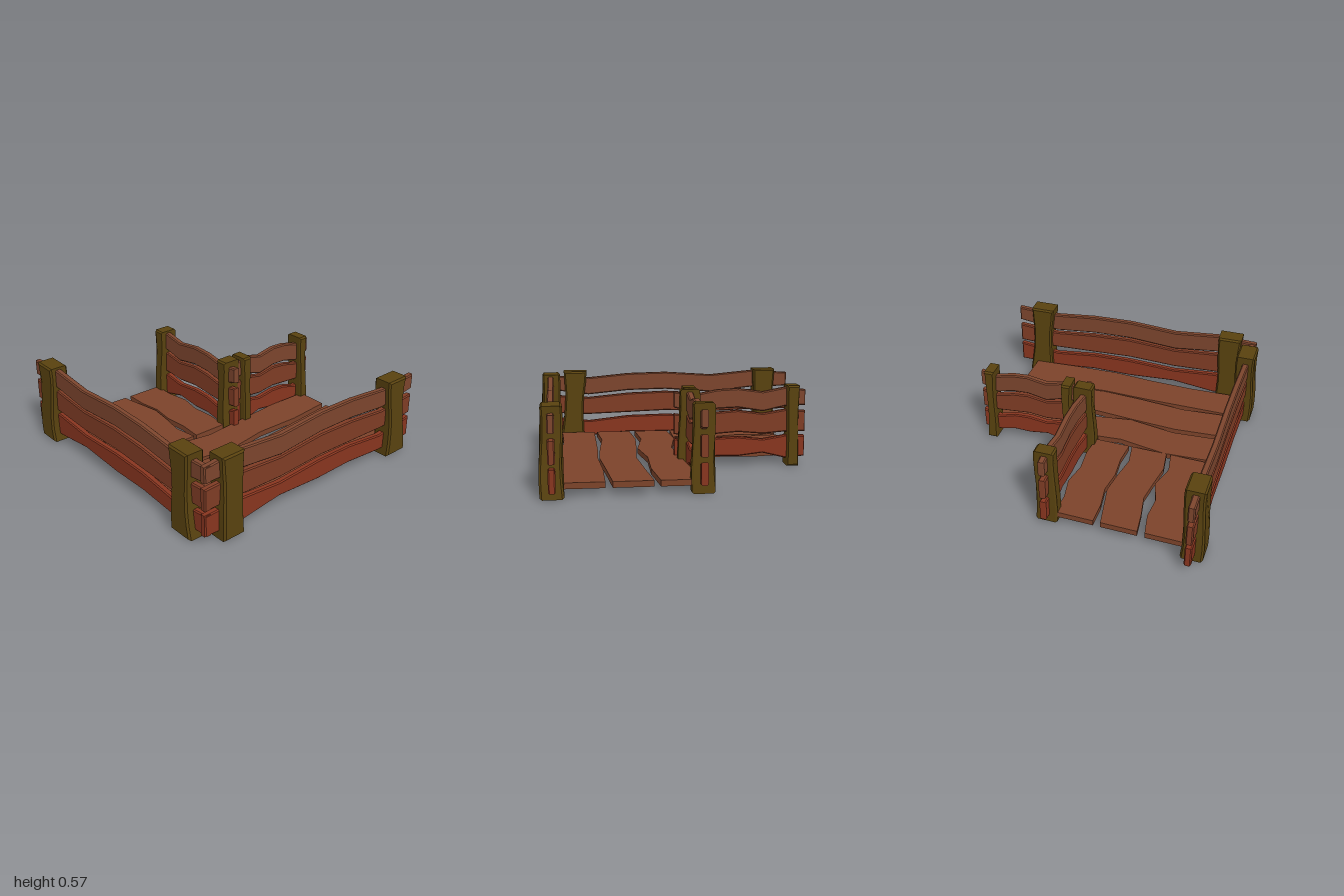
import * as THREE from 'three';
import { toCreasedNormals } from 'three/addons/utils/BufferGeometryUtils.js';

const mat = (color) => new THREE.MeshStandardMaterial({ color });
const postMat = mat(0x59420f);
const railMats = [mat(0x88351f), mat(0x7f3c25), mat(0x7c452d)];
const deckMat = mat(0x7c432a);

// Board cut from an outline (one edge forwards, the other back), centred in depth
function board(name, edgeA, edgeB, depth, bevel, material) {
  const pts = [...edgeA, ...[...edgeB].reverse()].map(([x, y]) => new THREE.Vector2(x, y));
  const geo = new THREE.ExtrudeGeometry(new THREE.Shape(pts), {
    depth: depth - 2 * bevel,
    bevelEnabled: bevel > 0,
    bevelSize: bevel,
    bevelThickness: bevel,
    bevelOffset: -bevel,
    bevelSegments: 1,
  });
  geo.translate(0, 0, bevel - depth / 2);
  const mesh = new THREE.Mesh(toCreasedNormals(geo, 0.5), material);
  mesh.name = name;
  return mesh;
}

const zip = (us, vs) => us.map((u, i) => [u, vs[i]]);

// Fence, built 1.94 long along +x, then stretched between two ground points
const FENCE = 1.94;
const railX = [0, 0.3, 0.63, 1.0, 1.3, 1.62, FENCE];
const rails = [
  { bottom: [0.06, 0.05, 0.09, 0.07, 0.075, 0.05, 0.06], top: [0.21, 0.215, 0.19, 0.21, 0.205, 0.17, 0.21] },
  { bottom: [0.24, 0.24, 0.228, 0.245, 0.235, 0.225, 0.24], top: [0.39, 0.4, 0.375, 0.4, 0.39, 0.36, 0.385] },
  { bottom: [0.43, 0.425, 0.39, 0.42, 0.415, 0.385, 0.43], top: [0.54, 0.56, 0.53, 0.556, 0.55, 0.52, 0.54] },
];
const postY = [0, 0.1, 0.2, 0.3, 0.4, 0.5, 0.575];
const posts = [
  { left: [0.11, 0.108, 0.11, 0.118, 0.122, 0.115, 0.11], right: [0.28, 0.27, 0.268, 0.272, 0.28, 0.285, 0.285] },
  { left: [1.66, 1.662, 1.665, 1.665, 1.655, 1.64, 1.635], right: [1.85, 1.835, 1.82, 1.81, 1.805, 1.81, 1.815] },
];

function fence(name, x0, z0, x1, z1) {
  const group = new THREE.Group();
  group.name = name;
  rails.forEach((r, i) => {
    group.add(board('rail', zip(railX, r.bottom), zip(railX, r.top), 0.046, 0.008, railMats[i]));
  });
  posts.forEach((p) => {
    const post = board('post', zip(p.right, postY), zip(p.left, postY), 0.135, 0.012, postMat);
    // Foot spreads a little and the shaft leans
    const pos = post.geometry.attributes.position;
    for (let i = 0; i < pos.count; i++) {
      const y = pos.getY(i);
      const lean = 0.008 * Math.sin(y * 10);
      pos.setZ(i, pos.getZ(i) * (1 + 0.12 * Math.max(0, 1 - y * 4)) + lean);
    }
    group.add(post);
  });
  group.position.set(x0, 0, z0);
  group.rotation.y = Math.atan2(z0 - z1, x1 - x0);
  group.scale.x = Math.hypot(x1 - x0, z1 - z0) / FENCE;
  return group;
}

// Deck planks: wavy edges; long ones run along z, short ones along x
const longZ = [-0.825, -0.5, -0.16, 0.14, 0.48, 0.805];
const longPlanks = [
  [[-0.03, -0.03, 0, 0.03, -0.025, 0], [0.2, 0.235, 0.23, 0.28, 0.23, 0.258]],
  [[0.24, 0.275, 0.308, 0.287, 0.272, 0.3], [0.5, 0.53, 0.565, 0.555, 0.53, 0.56]],
  [[0.545, 0.55, 0.575, 0.57, 0.575, 0.58], [0.805, 0.83, 0.845, 0.825, 0.82, 0.835]],
];
const shortX = [-0.84, -0.68, -0.52, -0.36, -0.19, -0.025];
const shortPlanks = [
  [[-0.035, -0.03, -0.06, -0.03, -0.045, -0.03], [0.23, 0.23, 0.205, 0.225, 0.21, 0.222]],
  [[0.28, 0.25, 0.22, 0.24, 0.27, 0.242], [0.53, 0.51, 0.48, 0.5, 0.525, 0.5]],
  [[0.58, 0.55, 0.56, 0.512, 0.56, 0.53], [0.835, 0.805, 0.815, 0.775, 0.825, 0.81]],
];

function deck() {
  const group = new THREE.Group();
  group.name = 'deck';
  const lay = (name, edgeA, edgeB) => {
    // Outline is drawn as (x, -z) so that it lies flat after the turn
    const flip = (edge) => edge.map(([x, z]) => [x, -z]);
    const plank = board(name, flip(edgeA), flip(edgeB), 0.04, 0, deckMat);
    plank.rotation.x = -Math.PI / 2;
    plank.position.y = 0.07;
    group.add(plank);
  };
  longPlanks.forEach(([l, r]) => lay('longPlank', zip(l, longZ), zip(r, longZ)));
  shortPlanks.forEach(([b, f]) => lay('shortPlank', zip(shortX, f), zip(shortX, b)));
  return group;
}

export function createModel() {
  const model = new THREE.Group();
  model.name = 'cornerWalkway';
  model.add(
    deck(),
    fence('frontFence', -1, 0.9, 0.94, 0.89),
    fence('leftFence', 0.92, 0.92, 0.87, -0.98),
    fence('innerBackFence', -0.9, -0.092, 0.04, -0.1),
    fence('innerSideFence', -0.05, -0.15, -0.07, -0.88),
  );
  return model;
}
